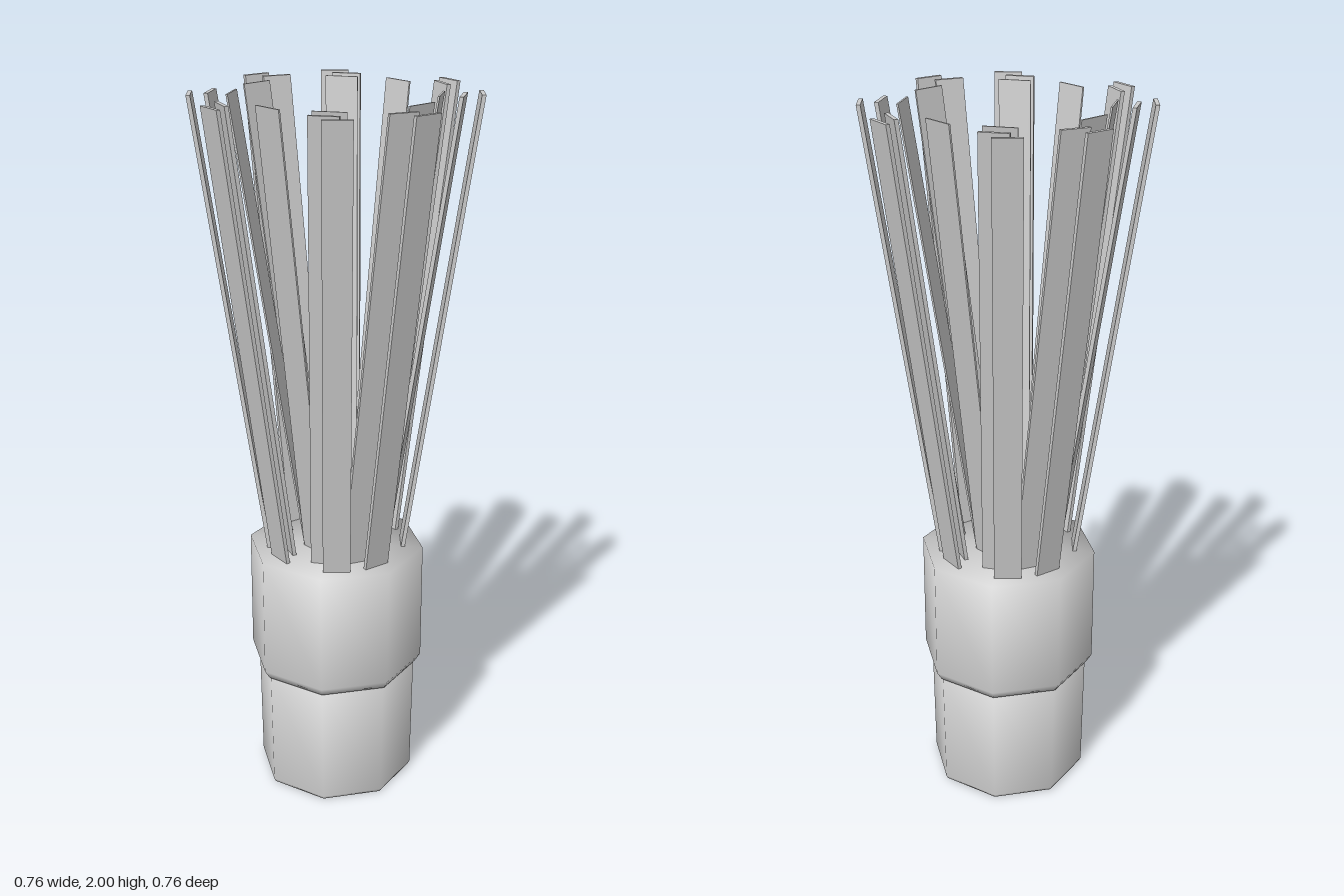
import * as THREE from 'three';

const RIM = 0.73, TOP = 2, BASE = 0.68;
const rad = THREE.MathUtils.degToRad;

export function createModel() {
  const group = new THREE.Group();
  const material = new THREE.MeshStandardMaterial({ color: 0xcccccc });

  const add = (name, geometry) => {
    const mesh = new THREE.Mesh(geometry, material);
    mesh.name = name;
    group.add(mesh);
  };

  // Eight-sided solid with smooth normals, profile listed from bottom to top
  const turned = (points) =>
    new THREE.LatheGeometry(points.map(([r, y]) => new THREE.Vector2(r, y)), 8);

  // Handle and the wider collar above it
  add('handle', turned([[0, 0], [0.22, 0], [0.225, 0.01], [0.23, 0.37], [0, 0.37]]));
  add('collar', turned([[0, 0.36], [0.235, 0.36], [0.25, 0.385], [0.25, RIM], [0, RIM]]));

  // Flat strip: turned to face one way, leaning outwards another way by a shear
  const strip = ({ radius, width, thick, lean }, facing, leaning) => {
    const geo = new THREE.BoxGeometry(thick, TOP - BASE, width);
    geo.translate(radius, (TOP + BASE) / 2, 0);
    geo.rotateY(rad(facing));
    const pos = geo.attributes.position;
    for (let i = 0; i < pos.count; i++) {
      const d = lean * (pos.getY(i) - RIM) / (TOP - RIM);
      pos.setX(i, pos.getX(i) + d * Math.cos(rad(leaning)));
      pos.setZ(i, pos.getZ(i) - d * Math.sin(rad(leaning)));
    }
    geo.computeVertexNormals();
    return geo;
  };

  // Three rings; each holds [facing, leaning] pairs repeated every quarter turn
  const rings = [
    { name: 'outerStrip', radius: 0.19, width: 0.076, thick: 0.011, lean: 0.185, turns: [[0, 0], [55, 55]] },
    { name: 'middleStrip', radius: 0.142, width: 0.078, thick: 0.011, lean: 0.185, turns: [[-13, 0], [42, 55]] },
    { name: 'innerStrip', radius: 0.08, width: 0.088, thick: 0.005, lean: 0.19, turns: [[7, 20], [42, 55]] },
  ];
  for (const ring of rings) {
    for (let quarter = 0; quarter < 360; quarter += 90) {
      for (const [facing, leaning] of ring.turns) {
        add(ring.name, strip(ring, quarter + facing, quarter + leaning));
      }
    }
  }
  return group;
}
